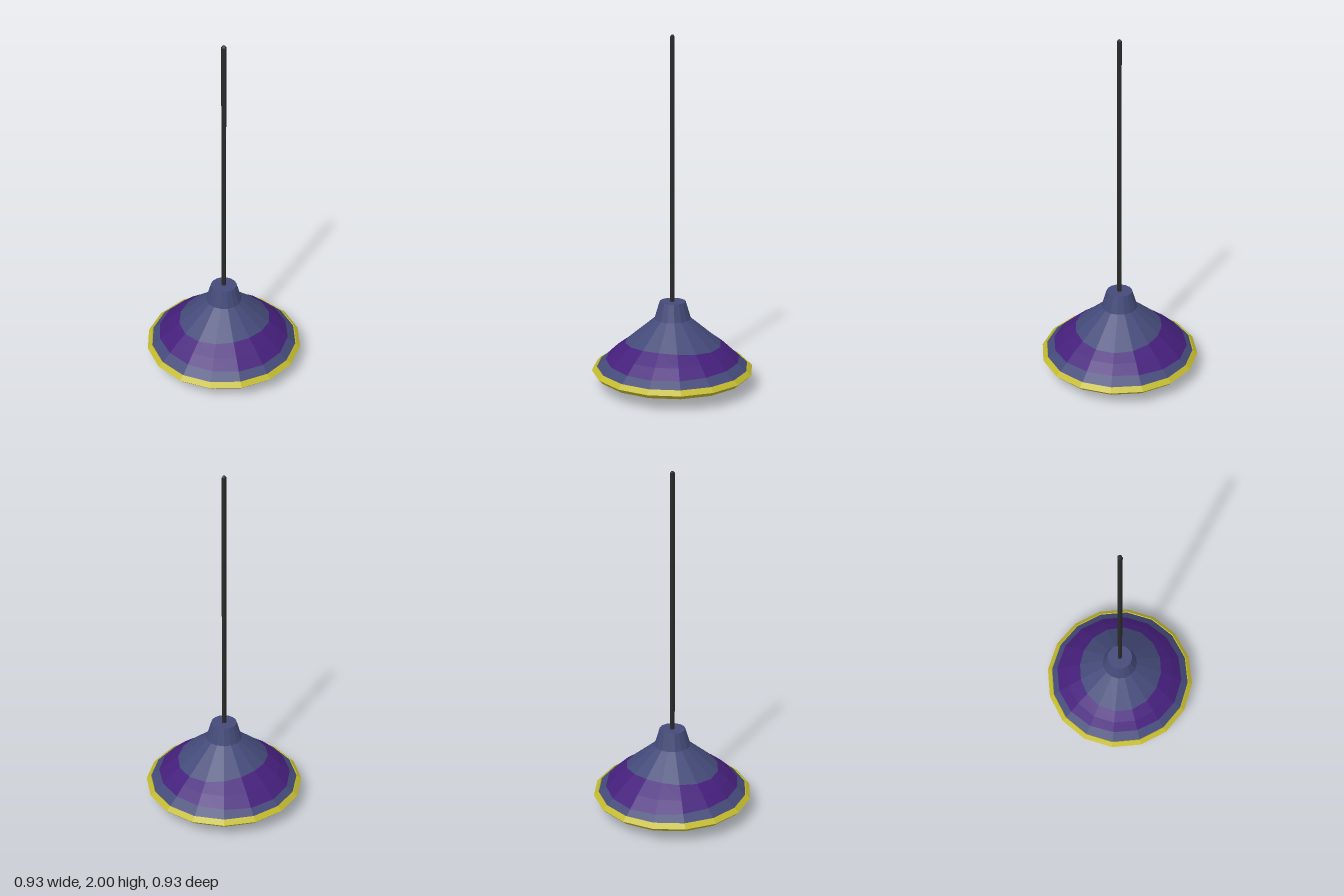
import * as THREE from 'three';

const SIDES = 16;

function material(name, color) {
  const m = new THREE.MeshStandardMaterial({ color, flatShading: true });
  m.name = name;
  return m;
}

// Height of the sloping shade wall at a given radius
const slopeY = (r) => 0.4 - ((r - 0.105) * 0.28) / 0.335;

function lathe(points) {
  return new THREE.LatheGeometry(points.map(([r, y]) => new THREE.Vector2(r, y)), SIDES);
}

export function createModel() {
  const blue = material('slate blue', 0x444a79);
  const purple = material('purple', 0x451f7b);
  const yellow = material('yellow', 0xc2ba2e);
  const glow = material('pale yellow', 0xd8dc86);
  const black = material('black', 0x2a2a2a);

  const group = new THREE.Group();
  group.name = 'pendantLamp';
  const add = (name, geometry, mat, y = 0) => {
    const mesh = new THREE.Mesh(geometry, mat);
    mesh.name = name;
    mesh.position.y = y;
    group.add(mesh);
  };

  // Thick shade: inner wall, lower edge, outer wall and closed collar
  add('shade', lathe([
    [0.17, 0.298], [0.437, 0.08],
    [0.44, 0.12], [0.105, 0.4], [0.075, 0.5], [0, 0.5],
  ]), blue);

  // Slightly bulging band with uneven edges
  const band = lathe([[0.39, 0], [0.335, 0], [0.27, 0]]);
  const p = band.attributes.position;
  for (let i = 0; i < p.count; i++) {
    const a = Math.atan2(p.getZ(i), p.getX(i));
    const wave = Math.cos(2 * a);
    const r = [
      0.391 - 0.006 * wave - 0.004 * Math.sin(a),
      0.335,
      0.267 + 0.012 * wave + 0.004 * Math.sin(a) + 0.004 * Math.cos(a),
    ][i % 3];
    p.setXYZ(i, r * Math.cos(a), slopeY(r) + [0.001, 0.006, 0.001][i % 3], r * Math.sin(a));
  }
  add('shadeBand', band, purple);

  // Shallow domed ceiling inside the shade, and the bulb socket
  add('ceiling', lathe([[0, 0.32], [0.1, 0.312], [0.17, 0.298]]), purple);
  add('socket', new THREE.CylinderGeometry(0.05, 0.05, 0.07, 12), purple, 0.285);

  // Diamond-section rim
  const rim = new THREE.TorusGeometry(0.44, 0.025, 4, SIDES);
  rim.rotateX(Math.PI / 2);
  add('rim', rim, yellow, 0.103);

  // Bulb
  add('bulb', new THREE.SphereGeometry(0.13, 12, 8), glow, 0.133);

  // Cord with a tapered tip
  add('cord', new THREE.CylinderGeometry(0.014, 0.014, 1.51, 5), black, 1.235);
  add('cordTip', new THREE.CylinderGeometry(0.006, 0.014, 0.01, 5), black, 1.995);

  return group;
}
